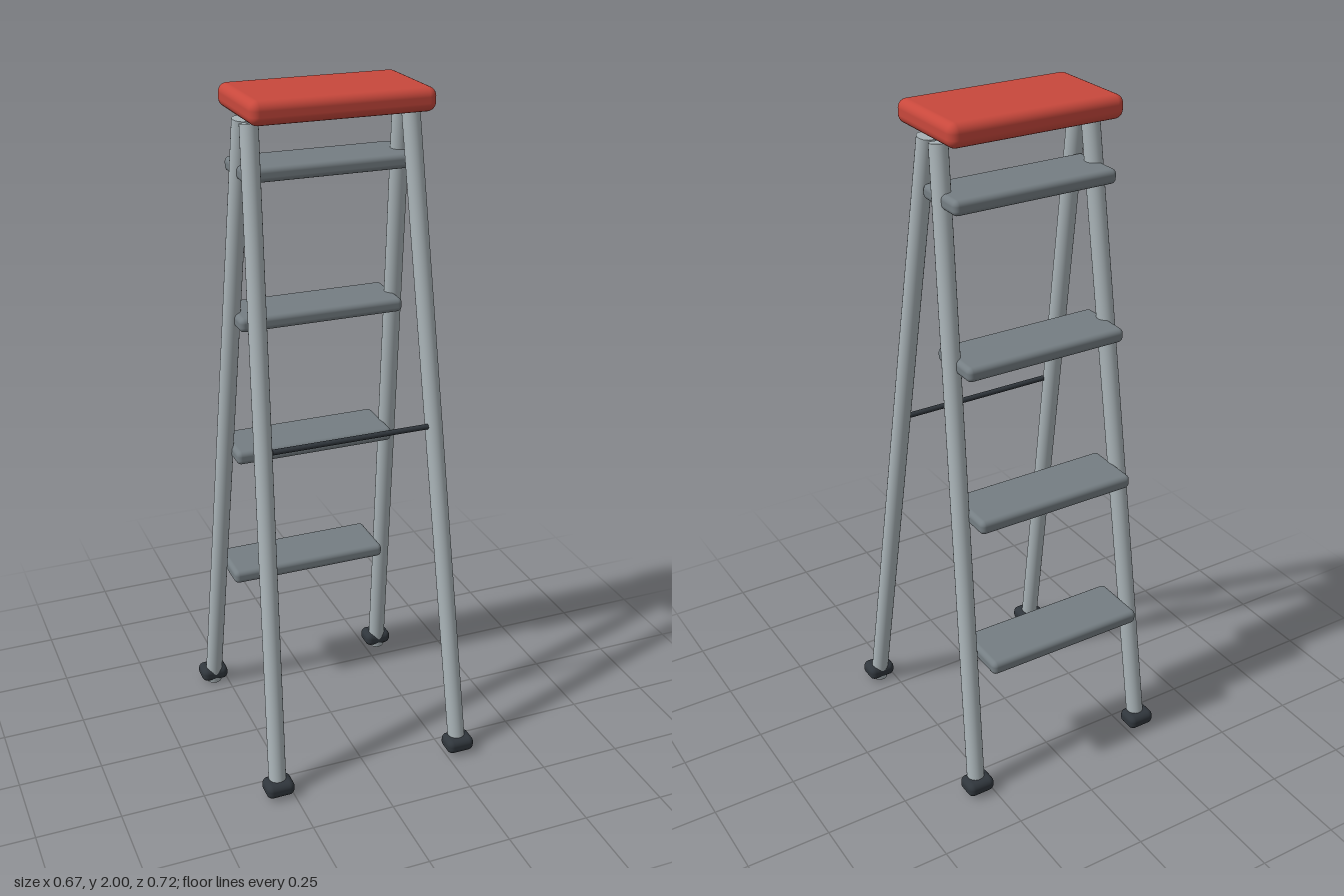
import * as THREE from 'three';
import { RoundedBoxGeometry } from 'three/addons/geometries/RoundedBoxGeometry.js';

const paint = (name, color) => {
  const m = new THREE.MeshStandardMaterial({ color });
  m.name = name;
  return m;
};

export function createModel() {
  const red = paint('red plastic', 0xc8483c);
  const metal = paint('light metal', 0xaab4b8);
  const tread = paint('grey tread', 0x757e83);
  const rubber = paint('dark rubber', 0x30363c);

  const group = new THREE.Group();
  group.name = 'stepladder';

  const add = (name, geometry, material, x, y, z) => {
    const mesh = new THREE.Mesh(geometry, material);
    mesh.name = name;
    mesh.position.set(x, y, z);
    group.add(mesh);
    return mesh;
  };

  // Round tube between two points
  const addTube = (name, a, b, radius, material) => {
    const dir = b.clone().sub(a);
    const mid = a.clone().add(b).multiplyScalar(0.5);
    const mesh = add(name, new THREE.CylinderGeometry(radius, radius, dir.length(), 24), material, mid.x, mid.y, mid.z);
    mesh.quaternion.setFromUnitVectors(new THREE.Vector3(0, 1, 0), dir.normalize());
  };

  // Top platform
  add('topPlatform', new RoundedBoxGeometry(0.526, 0.066, 0.294, 4, 0.025), red, 0, 1.967, -0.031);

  // Four splayed legs with rubber feet
  for (const side of [-1, 1]) {
    for (const [name, topZ, footZ] of [['frontLeg', 0.005, 0.32], ['backLeg', -0.058, -0.318]]) {
      addTube(name,
        new THREE.Vector3(side * 0.294, 0.005, footZ),
        new THREE.Vector3(side * 0.232, 1.922, topZ), 0.026, metal);
      add(name + 'Foot', new RoundedBoxGeometry(0.086, 0.045, 0.07, 4, 0.018), rubber,
        side * 0.293, 0.032, Math.sign(footZ) * 0.323);
    }
  }

  // Four treads climbing the back legs
  for (let i = 0; i < 4; i++) {
    add('step', new RoundedBoxGeometry(0.5, 0.042, 0.174, 4, 0.015), tread,
      0, 0.451 + i * 0.4425, -0.264 + i * 0.0605);
  }

  // Thin spreader bar between the front legs
  addTube('spreaderBar', new THREE.Vector3(-0.237, 1.04, 0.16), new THREE.Vector3(0.237, 1.04, 0.16), 0.008, rubber);

  return group;
}
